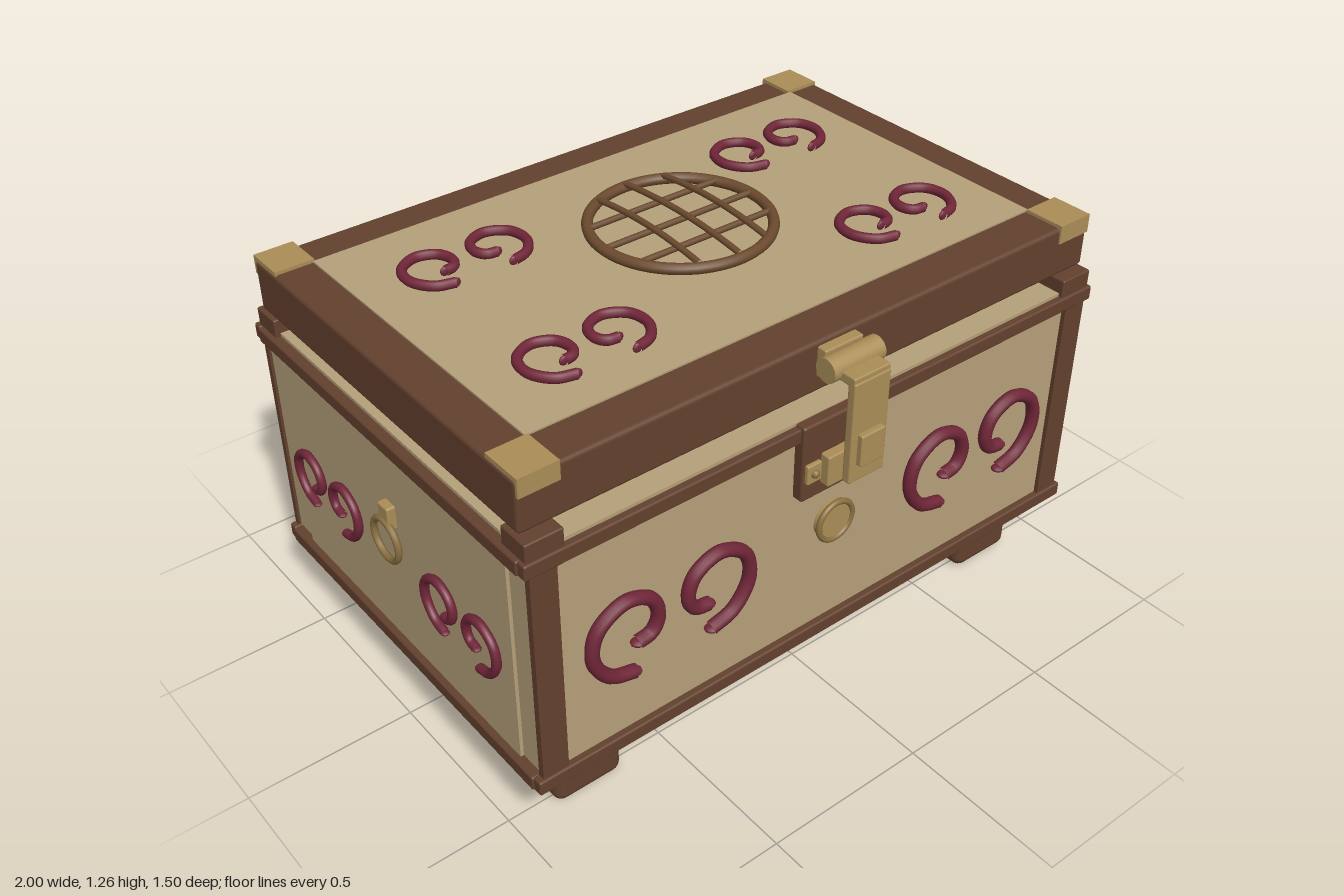
import * as THREE from 'three';
import { RoundedBoxGeometry } from 'three/addons/geometries/RoundedBoxGeometry.js';

const mat = (name, color) => {
  const m = new THREE.MeshStandardMaterial({ color });
  m.name = name;
  return m;
};

export function createModel() {
  const cream = mat('cream panel', 0xb5a07a);
  const brown = mat('brown wood', 0x63412e);
  const brass = mat('brass', 0xab8e58);
  const bronze = mat('dark bronze', 0x6b4a2e);
  const darkBrass = mat('aged brass', 0x8a7040);
  const crimson = mat('crimson scroll', 0x702638);
  const lining = mat('dark lining', 0x3c3834);

  const chest = new THREE.Group();
  chest.name = 'chest';

  const add = (name, geo, m, parent = chest) => {
    const mesh = new THREE.Mesh(geo, m);
    mesh.name = name;
    parent.add(mesh);
    return mesh;
  };
  // Box given by its limits on each axis, with optional rounded edges
  const box = (name, m, [x0, x1], [y0, y1], [z0, z1], r = 0) => {
    const s = [x1 - x0, y1 - y0, z1 - z0];
    const geo = r ? new RoundedBoxGeometry(...s, 3, r) : new THREE.BoxGeometry(...s);
    add(name, geo, m).position.set((x0 + x1) / 2, (y0 + y1) / 2, (z0 + z1) / 2);
  };
  // Horizontal rod along x
  const barrel = (name, m, r, len, x, y, z) => {
    const rod = add(name, new THREE.CylinderGeometry(r, r, len, 24), m);
    rod.rotation.z = Math.PI / 2;
    rod.position.set(x, y, z);
  };
  const span = (s, a, b) => (s > 0 ? [a, b] : [-b, -a]);

  // Feet and underside
  for (const s of [-1, 1]) {
    box('frontFoot', brown, span(s, 0.655, 0.87), [0, 0.18], [0.36, 0.545], 0.03);
    box('backFoot', brown, span(s, 0.655, 0.87), [0, 0.18], [-0.59, -0.405], 0.03);
  }
  box('bottomBoard', brown, [-0.885, 0.885], [0.16, 0.21], [-0.56, 0.53]);

  // Body
  box('body', cream, [-0.955, 0.955], [0.2, 0.97], [-0.665, 0.617]);
  box('innerRim', lining, [-0.86, 0.86], [0.96, 1.003], [-0.56, 0.515]);
  for (const s of [-1, 1]) {
    box('sidePanel', cream, span(s, 0.95, 0.965), [0.24, 0.92], [-0.57, 0.53]);
    box('frontPost', brown, span(s, 0.885, 0.963), [0.22, 0.94], [0.61, 0.63]);
    box('backPost', brown, span(s, 0.885, 0.963), [0.22, 0.94], [-0.68, -0.66]);
    box('frontCornerBlock', brown, span(s, 0.86, 0.97), [0.95, 1.013], [0.53, 0.63], 0.005);
    box('backCornerBlock', brown, span(s, 0.86, 0.97), [0.95, 1.013], [-0.672, -0.575], 0.005);
  }

  // Bottom and top trim running round the body
  for (const [y0, y1] of [[0.2, 0.245], [0.915, 0.96]]) {
    box('frontTrim', brown, [-0.98, 0.98], [y0, y1], [0.605, 0.638], 0.006);
    box('backTrim', brown, [-0.98, 0.98], [y0, y1], [-0.685, -0.655], 0.006);
    for (const s of [-1, 1])
      box('sideTrim', brown, span(s, 0.945, 0.985), [y0, y1], [-0.655, 0.61], 0.006);
  }

  // Lid with inset panel and brass corners
  box('lid', brown, [-0.965, 0.965], [1.02, 1.174], [-0.645, 0.6], 0.012);
  box('lidPanel', cream, [-0.85, 0.855], [1.165, 1.179], [-0.53, 0.473]);
  for (const s of [-1, 1]) {
    const x = span(s, 0.845, 0.962);
    for (const [z0, z1, e0, e1] of [[0.477, 0.603, 0.59, 0.605], [-0.65, -0.53, -0.652, -0.637]]) {
      box('lidCornerTop', brass, x, [1.165, 1.184], [z0, z1]);
      box('lidCornerEdge', brass, x, [1.128, 1.184], [e0, e1]);
    }
  }

  // Scrolls: a curl and its mirror image, laid on a face
  const curlPoints = [
    [0.015, -0.138], [-0.06, -0.112], [-0.112, -0.03], [-0.095, 0.06], [-0.01, 0.108],
    [0.07, 0.075], [0.092, 0.01], [0.07, -0.035], [0.025, -0.045],
  ];
  const curlGeometry = (side) => {
    const path = new THREE.CatmullRomCurve3(
      curlPoints.map(([x, y]) => new THREE.Vector3(side * (x - 0.14), y, 0)));
    return new THREE.TubeGeometry(path, 48, 0.02, 10);
  };
  const curls = [curlGeometry(1), curlGeometry(-1)];
  const tips = [curlPoints[0], curlPoints[curlPoints.length - 1]];
  const tipGeometry = new THREE.SphereGeometry(0.0198, 10, 8);
  const scrolls = (name, scale, pos, rx, ry) => {
    const pair = new THREE.Group();
    pair.name = name;
    curls.forEach((g, i) => {
      add('curl', g, crimson, pair);
      for (const [x, y] of tips) {
        const tip = add('curlTip', tipGeometry, crimson, pair);
        tip.position.set((i ? -1 : 1) * (x - 0.14), y, 0);
        tip.scale.set(1, 0.5, 1);
      }
    });
    pair.scale.setScalar(scale);
    pair.rotation.set(rx, ry, 0);
    pair.position.set(...pos);
    chest.add(pair);
  };
  for (const s of [-1, 1]) {
    scrolls('frontScrolls', 1, [s * 0.547, 0.585, 0.632], 0, 0);
    scrolls('backScrolls', 1, [s * 0.547, 0.585, -0.676], 0, Math.PI);
    for (const z of [0.318, -0.36])
      scrolls('sideScrolls', 0.66, [s * 0.985, 0.563, z], 0, s * Math.PI / 2);
    for (const z of [-0.275, 0.265])
      scrolls('lidScrolls', 0.72, [s * 0.533, 1.194, z], -Math.PI / 2, 0);
  }

  // Round lattice on the lid
  const lattice = new THREE.Group();
  lattice.name = 'lattice';
  lattice.position.set(0.005, 1.22, -0.028);
  chest.add(lattice);
  add('latticeRing', new THREE.TorusGeometry(0.255, 0.016, 12, 64), bronze, lattice).rotation.x = Math.PI / 2;
  for (const d of [-0.115, 0, 0.115]) {
    const half = Math.sqrt(0.25 ** 2 - d * d);
    const v = (x, y, z) => new THREE.Vector3(x, y, z);
    const arch = new THREE.QuadraticBezierCurve3(v(d, 0.012, -half), v(d, 0.048, 0), v(d, 0.012, half));
    add('archedBar', new THREE.TubeGeometry(arch, 20, 0.009, 8), bronze, lattice);
    const flat = new THREE.LineCurve3(v(-half, 0.006, d), v(half, 0.006, d));
    add('crossBar', new THREE.TubeGeometry(flat, 1, 0.009, 8), bronze, lattice);
  }

  // Front boss
  const boss = add('boss', new THREE.CylinderGeometry(0.06, 0.06, 0.03, 32), brass);
  boss.rotation.x = Math.PI / 2;
  boss.position.set(0.004, 0.595, 0.625);
  add('bossRim', new THREE.TorusGeometry(0.06, 0.009, 10, 40), darkBrass).position.set(0.004, 0.595, 0.638);

  // Clasp
  box('claspBacking', brown, [-0.138, 0.148], [0.73, 0.967], [0.61, 0.65], 0.008);
  box('claspPlate', brass, [-0.075, 0.085], [0.77, 0.865], [0.645, 0.68], 0.005);
  for (const x of [-0.105, 0.115]) {
    box('claspLug', brass, [x - 0.025, x + 0.025], [0.79, 0.85], [0.645, 0.662], 0.005);
    const rivet = add('rivet', new THREE.SphereGeometry(0.013, 12, 8), darkBrass);
    rivet.position.set(x, 0.82, 0.662);
  }
  box('claspLidPlate', brass, [-0.06, 0.07], [1.07, 1.16], [0.595, 0.63], 0.005);
  barrel('claspBarrel', brass, 0.035, 0.175, 0.005, 1.125, 0.655);
  box('claspArm', brass, [-0.058, 0.066], [1.1, 1.13], [0.66, 0.735], 0.005);
  box('claspStrap', brass, [-0.058, 0.066], [0.805, 1.115], [0.71, 0.738], 0.006);
  box('claspCatch', brass, [-0.037, 0.045], [0.86, 0.957], [0.73, 0.755], 0.005);

  // Back hinges
  for (const s of [-1, 1]) {
    const x = s * 0.59;
    barrel('hingeBarrel', brass, 0.037, 0.215, x, 1.01, -0.712);
    box('hingeUpperLeaf', brass, [x - 0.07, x + 0.07], [1.02, 1.105], [-0.72, -0.64], 0.008);
    box('hingeLowerLeaf', brass, [x - 0.07, x + 0.07], [0.78, 1.0], [-0.697, -0.672], 0.005);
  }

  // Ring pull on the right side
  box('ringMount', brass, [-0.99, -0.95], [0.655, 0.73], [-0.05, 0], 0.006);
  const ring = add('ringPull', new THREE.TorusGeometry(0.063, 0.01, 10, 40), darkBrass);
  ring.rotation.y = Math.PI / 2;
  ring.position.set(-0.988, 0.615, -0.027);

  return chest;
}
